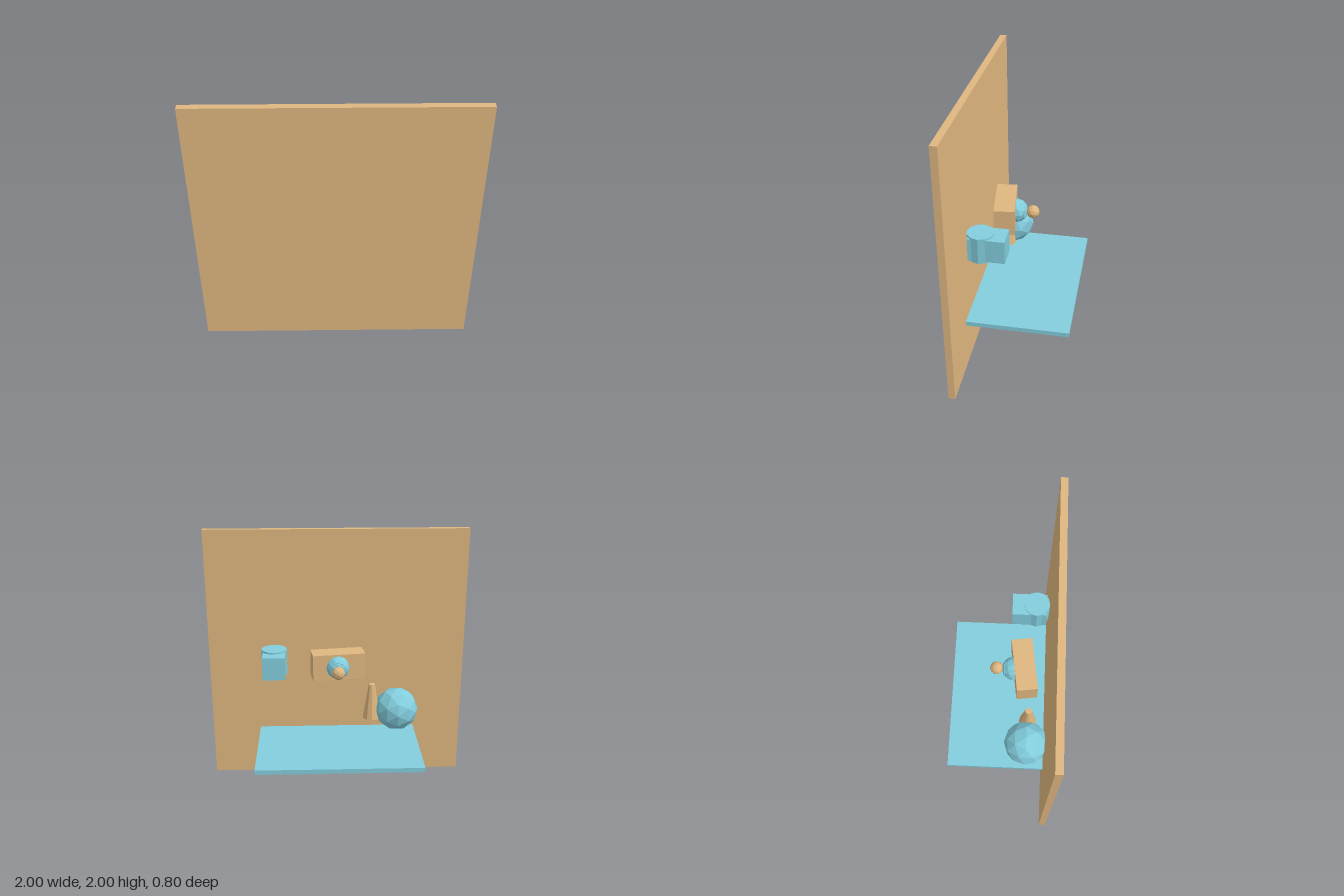
import * as THREE from 'three';

export function createModel() {
  const model = new THREE.Group();
  const wood = new THREE.MeshStandardMaterial({ color: 0xdeb67f, flatShading: true });
  const blue = new THREE.MeshStandardMaterial({ color: 0x82cddd, flatShading: true });

  function add(name, geometry, material, x, y, z, parent = model) {
    const mesh = new THREE.Mesh(geometry, material);
    mesh.name = name;
    mesh.position.set(x, y, z);
    parent.add(mesh);
    return mesh;
  }

  // Upright panel with a shelf behind it
  add('panel', new THREE.BoxGeometry(2, 2, 0.05), wood, 0, 1, 0.376);
  add('shelf', new THREE.BoxGeometry(1.24, 0.035, 0.755), blue, 0, 0.38, -0.025);

  // Faceted ball and tapered post beside it
  add('largeBall', new THREE.IcosahedronGeometry(0.17, 1), blue, -0.465, 0.605, 0.208);
  add('taperedPost', new THREE.CylinderGeometry(0.025, 0.069, 0.28, 10), wood, -0.27, 0.67, 0.217);

  // Turned block carrying a knob
  const block = add('block', new THREE.BoxGeometry(0.4, 0.2, 0.154), wood, 0, 1, 0.17);
  block.rotation.y = 0.134;

  const knob = new THREE.Group();
  knob.name = 'knob';
  model.add(knob);
  add('knobBall', new THREE.IcosahedronGeometry(0.09, 1), blue, 0, 1, 0.09, knob);
  const collar = add('knobCollar', new THREE.CylinderGeometry(0.06, 0.06, 0.08, 12), blue, 0, 1, 0.062, knob);
  collar.rotation.x = Math.PI / 2;
  add('knobTip', new THREE.IcosahedronGeometry(0.05, 1), wood, 0, 1, -0.036, knob);

  // Box running through an upright drum
  const canister = new THREE.Group();
  canister.name = 'canister';
  model.add(canister);
  add('canisterDrum', new THREE.CylinderGeometry(0.098, 0.098, 0.2, 12), blue, 0.487, 1, 0.249, canister);
  add('canisterBox', new THREE.BoxGeometry(0.172, 0.175, 0.262), blue, 0.486, 1, 0.195, canister);

  return model;
}
